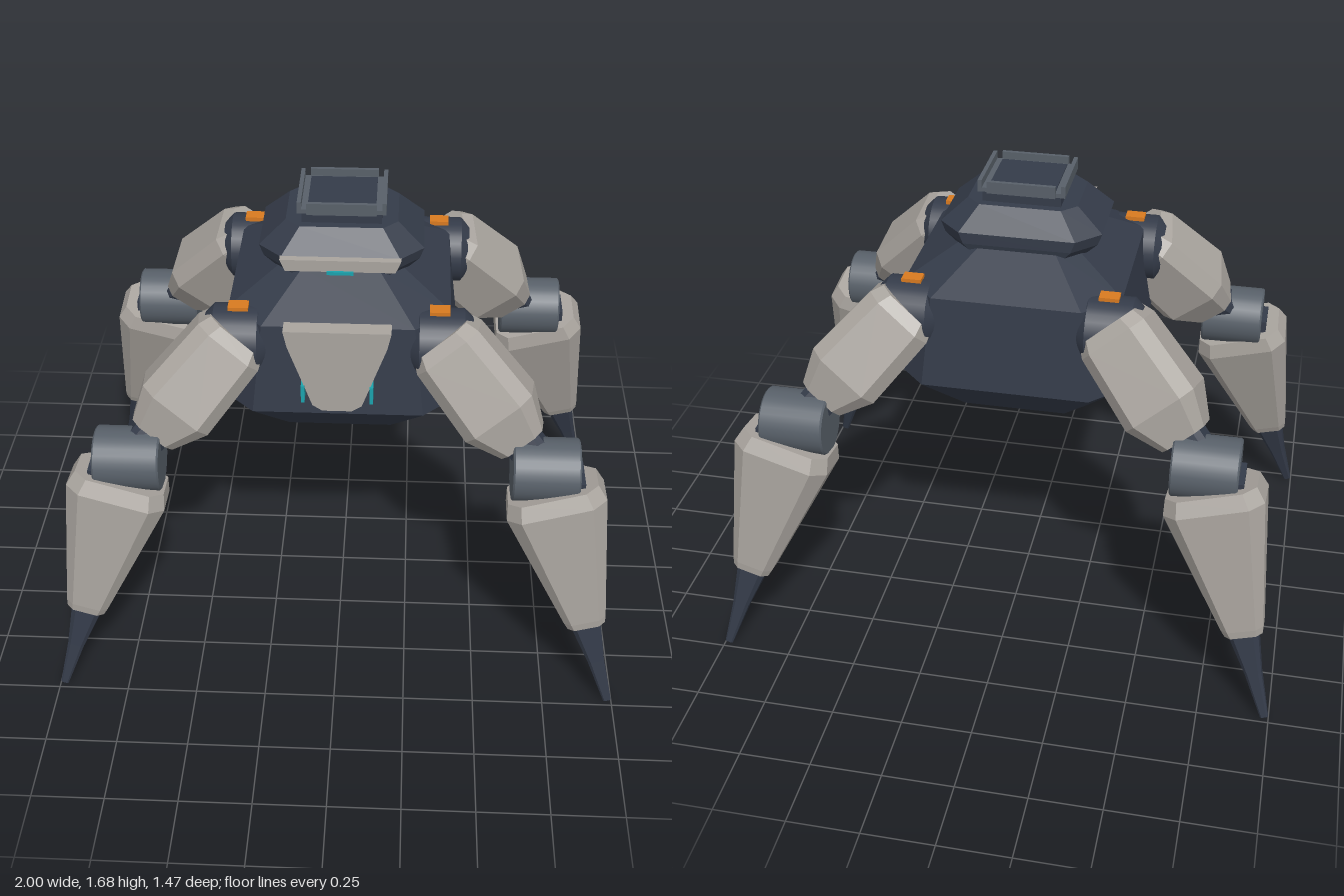
import * as THREE from 'three';

const mat = (name, color) => Object.assign(new THREE.MeshStandardMaterial({ color }), { name });

// Loft of eight-sided sections [y, halfX, halfZ, cornerCut], listed upwards, with flat faces
function loft(sections) {
  const rings = sections.map(([y, a, b, c]) => [
    [a, b - c], [a - c, b], [c - a, b], [-a, b - c], [-a, c - b], [c - a, -b], [a - c, -b], [a, c - b],
  ].map(([x, z]) => [x, y, z]));
  const pos = [];
  const tri = (...pts) => pts.forEach((p) => pos.push(...p));
  const top = rings[rings.length - 1], bottom = rings[0];
  for (let i = 0; i < 8; i++) {
    const j = (i + 1) % 8;
    for (let k = 0; k + 1 < rings.length; k++) {
      const lo = rings[k], up = rings[k + 1];
      tri(lo[i], up[i], up[j]);
      tri(lo[i], up[j], lo[j]);
    }
    tri(top[0], top[j], top[i]);
    tri(bottom[0], bottom[i], bottom[j]);
  }
  const geo = new THREE.BufferGeometry();
  geo.setAttribute('position', new THREE.Float32BufferAttribute(pos, 3));
  geo.computeVertexNormals();
  return geo;
}

export function createModel() {
  const dark = mat('dark hull', 0x343b49);
  const armor = mat('pale armor', 0xa9a49e);
  const steel = mat('joint steel', 0x586069);
  const orange = mat('orange marker', 0xd87a20);
  const cyan = mat('cyan light', 0x1ba3ad);

  const model = new THREE.Group();
  model.name = 'walker';
  const add = (parent, name, geo, material, x = 0, y = 0, z = 0) => {
    const m = new THREE.Mesh(geo, material);
    m.name = name;
    m.position.set(x, y, z);
    parent.add(m);
    return m;
  };
  const box = (parent, name, material, w, h, d, x, y, z) =>
    add(parent, name, new THREE.BoxGeometry(w, h, d), material, x, y, z);

  // Lofted limb from point a down to point b; sections start at b, heights as fractions of the length
  const limb = (parent, name, material, a, b, sections) => {
    const axis = a.clone().sub(b), len = axis.length();
    const m = add(parent, name, loft(sections.map(([t, ...s]) => [t * len, ...s])), material, b.x, b.y, b.z);
    m.quaternion.setFromUnitVectors(new THREE.Vector3(0, 1, 0), axis.normalize());
    return m;
  };

  // Drum along x with bevelled rims
  const drum = (parent, name, material, radius, width, bevel, x, y, z) => {
    const h = width / 2;
    const profile = [[0, -h], [radius - bevel, -h], [radius, bevel - h], [radius, h - bevel], [radius - bevel, h], [0, h]];
    // separate lathes keep the rim edges sharp
    const g = new THREE.Group();
    g.name = name;
    for (let i = 0; i + 1 < profile.length; i++) {
      const pts = [profile[i], profile[i + 1]].map((p) => new THREE.Vector2(...p));
      add(g, name + 'Face', new THREE.LatheGeometry(pts, 28), material).rotation.z = Math.PI / 2;
    }
    g.position.set(x, y, z);
    parent.add(g);
  };

  // Hull and head
  add(model, 'body', loft([
    [0.86, 0.25, 0.255, 0.07],
    [1.03, 0.41, 0.427, 0.12],
    [1.355, 0.375, 0.395, 0.12],
    [1.465, 0.19, 0.20, 0.06],
  ]), dark);
  add(model, 'head', loft([
    [1.445, 0.23, 0.205, 0.07],
    [1.475, 0.265, 0.212, 0.08],
    [1.515, 0.28, 0.212, 0.08],
    [1.597, 0.19, 0.15, 0.05],
  ]), dark);

  // Roof hatch with raised rim
  box(model, 'hatchBase', dark, 0.27, 0.045, 0.24, 0, 1.615, 0);
  box(model, 'hatchPlate', steel, 0.28, 0.015, 0.25, 0, 1.64, 0);
  box(model, 'hatchPanel', dark, 0.23, 0.008, 0.22, 0, 1.648, 0);
  for (const s of [-1, 1]) {
    box(model, 'hatchSideRim', steel, 0.014, 0.042, 0.25, s * 0.143, 1.653, 0);
    box(model, 'hatchEndRim', steel, 0.235, 0.042, 0.014, 0, 1.653, s * 0.128);
  }

  // Visor and chest plate
  const slab = (name, pts, depth, z) => add(model, name, new THREE.ExtrudeGeometry(
    new THREE.Shape(pts.map((p) => new THREE.Vector2(...p))), { depth, bevelEnabled: false }), armor, 0, 0, z);
  slab('visor', [[-0.185, 1.475], [0.185, 1.475], [0.203, 1.517], [-0.203, 1.517]], 0.03, 0.207);
  box(model, 'visorLight', cyan, 0.09, 0.012, 0.01, 0, 1.473, 0.24);
  slab('chestPlate', [[-0.05, 1.068], [0.05, 1.068], [0.083, 1.09], [0.165, 1.32], [0.178, 1.38],
    [-0.178, 1.38], [-0.165, 1.32], [-0.083, 1.09]], 0.06, 0.405);
  for (const s of [-1, 1]) box(model, 'chestLight', cyan, 0.012, 0.066, 0.045, s * 0.115, 1.137, 0.449);

  // Four mirrored legs
  for (const sx of [-1, 1]) for (const sz of [-1, 1]) {
    const leg = new THREE.Group();
    leg.name = (sz > 0 ? 'front' : 'back') + (sx > 0 ? 'Left' : 'Right') + 'Leg';
    model.add(leg);
    const P = (x, y, z) => new THREE.Vector3(sx * x, y, sz * z);

    drum(leg, 'shoulder', dark, 0.118, 0.21, 0.03, sx * 0.345, 1.257, sz * 0.315);
    box(leg, 'shoulderMarker', orange, 0.068, 0.018, 0.05, sx * 0.337, 1.377, sz * 0.31);
    limb(leg, 'upperArmor', armor, P(0.345, 1.285, 0.325), P(0.63, 0.968, 0.468), [
      [0, 0.085, 0.08, 0.03],
      [0.28, 0.138, 0.132, 0.045],
      [0.9, 0.128, 0.122, 0.045],
      [1, 0.11, 0.105, 0.04],
    ]);
    limb(leg, 'kneeLink', dark, P(0.6, 1.0, 0.455), P(0.71, 0.89, 0.52), [
      [0, 0.06, 0.06, 0.02],
      [1, 0.065, 0.065, 0.02],
    ]);
    drum(leg, 'knee', steel, 0.11, 0.226, 0.006, sx * 0.708, 0.89, sz * 0.523);
    box(leg, 'shinSocket', dark, 0.13, 0.06, 0.13, sx * 0.775, 0.862, sz * 0.54);
    limb(leg, 'shinArmor', armor, P(0.735, 0.835, 0.545), P(0.887, 0.315, 0.652), [
      [0, 0.066, 0.05, 0.022],
      [0.05, 0.074, 0.057, 0.025],
      [0.9, 0.172, 0.124, 0.05],
      [1, 0.155, 0.108, 0.045],
    ]);
    limb(leg, 'footSpike', dark, P(0.88, 0.335, 0.65), P(0.985, 0.004, 0.725), [
      [0, 0.014, 0.012, 0.005],
      [0.5, 0.029, 0.027, 0.01],
      [1, 0.055, 0.046, 0.018],
    ]);
  }
  return model;
}
